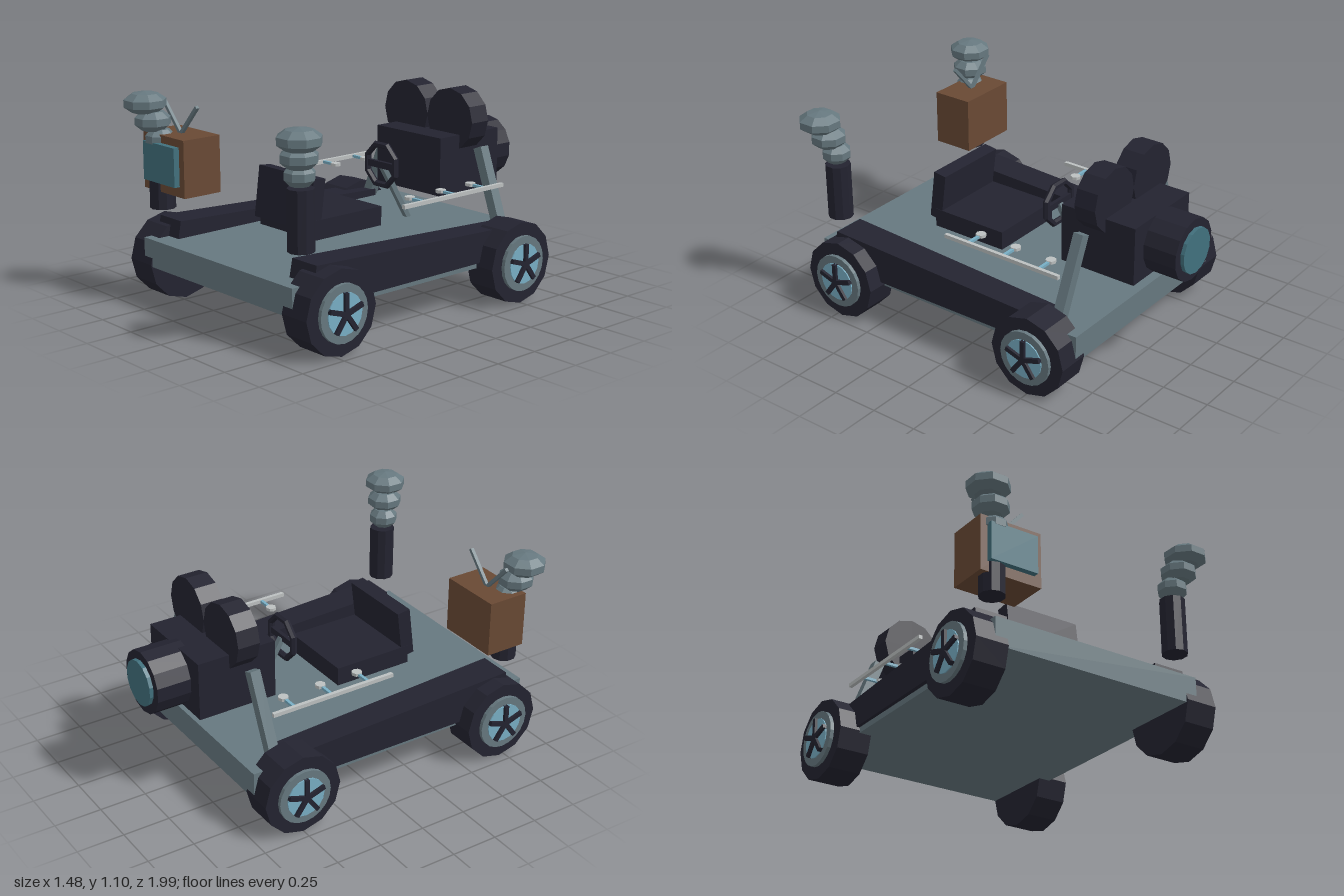
import * as THREE from 'three';

const mat = (name, color) => {
  const m = new THREE.MeshStandardMaterial({ color, flatShading: true });
  m.name = name;
  return m;
};

export function createModel() {
  const root = new THREE.Group();
  root.name = 'cameraBuggy';
  const dark = mat('darkRubber', 0x232330);
  const grey = mat('greyMetal', 0x66787f);
  const brown = mat('brownWood', 0x694934);
  const teal = mat('tealGlass', 0x41707d);
  const blue = mat('paleBlue', 0x78aec4);
  const pale = mat('paleMetal', 0xbcc0c0);

  const add = (name, geo, material, x = 0, y = 0, z = 0, parent = root) => {
    const m = new THREE.Mesh(geo, material);
    m.name = name;
    m.position.set(x, y, z);
    parent.add(m);
    return m;
  };
  const box = (name, material, w, h, d, x, y, z, parent) =>
    add(name, new THREE.BoxGeometry(w, h, d), material, x, y, z, parent);
  // straight bar between two points
  const bar = (name, material, a, b, w, d = w, parent = root) => {
    const p = new THREE.Vector3(...a), q = new THREE.Vector3(...b);
    const dir = q.clone().sub(p);
    const m = box(name, material, w, dir.length(), d, 0, 0, 0, parent);
    m.position.copy(p).add(q).multiplyScalar(0.5);
    m.quaternion.setFromUnitVectors(new THREE.Vector3(0, 1, 0), dir.normalize());
    return m;
  };
  const discX = (r, w, n) => new THREE.CylinderGeometry(r, r, w, n).rotateZ(Math.PI / 2);
  const discZ = (r, w, n) => new THREE.CylinderGeometry(r, r, w, n).rotateX(Math.PI / 2);

  // chassis
  box('chassis', grey, 1.18, 0.145, 1.635, 0, 0.277, 0.107);

  // wheels
  for (const s of [1, -1]) {
    for (const z of [0.72, -0.5]) {
      const wheel = new THREE.Group();
      wheel.name = 'wheel';
      wheel.position.set(0, 0.216, z);
      root.add(wheel);
      add('tire', discX(0.214, 0.176, 12), dark, s * 0.612, 0, 0, wheel);
      add('rim', discX(0.145, 0.024, 20), grey, s * 0.708, 0, 0, wheel);
      add('hubDisc', discX(0.105, 0.02, 16), blue, s * 0.716, 0, 0, wheel);
      for (let i = 0; i < 5; i++) {
        const spoke = new THREE.BoxGeometry(0.022, 0.105, 0.024);
        spoke.translate(0, 0.052, 0).rotateX((i * Math.PI * 2) / 5);
        add('spoke', spoke, dark, s * 0.73, 0, 0, wheel);
      }
    }
  }

  for (const s of [1, -1]) {
    // tapered side rail, higher and wider at the front
    const rail = new THREE.BoxGeometry(1, 1, 1);
    const p = rail.attributes.position;
    for (let i = 0; i < p.count; i++) {
      const front = p.getZ(i) > 0, top = p.getY(i) > 0;
      const half = front ? 0.088 : 0.075;
      p.setXYZ(i, p.getX(i) * 2 * half,
        top ? (front ? 0.44 : 0.385) : 0.235,
        front ? (top ? 0.8 : 0.84) : -0.55);
    }
    rail.computeVertexNormals();
    add('sideRail', rail, dark, s * 0.53, 0, 0);

    // leaning post beside the camera
    bar('cameraPost', grey, [s * 0.5, 0.36, -0.55], [s * 0.345, 0.755, -0.56], 0.055);

    // control rail with levers and knobs
    box('controlRail', pale, 0.02, 0.02, 0.7, s * 0.51, 0.585, -0.2);
    for (const z of [-0.425, -0.21, 0.008]) {
      box('lever', blue, 0.1, 0.014, 0.016, s * 0.455, 0.586, z);
      add('knob', new THREE.CylinderGeometry(0.027, 0.027, 0.016, 8), pale, s * 0.405, 0.588, z);
    }

    // smoke stack with bulging puffs
    add('stack', new THREE.CylinderGeometry(0.066, 0.066, 0.3, 10), dark, s * 0.547, 0.65, 0.832);
    for (const [x, y, z, r] of [
      [0.547, 0.86, 0.838, 0.08],
      [0.573, 0.95, 0.862, 0.097],
      [0.603, 1.04, 0.885, 0.115],
    ]) {
      const puff = new THREE.SphereGeometry(r, 8, 5).scale(1, 0.06 / r, 1);
      add('puff', puff, grey, s * x, y, z).rotation.y = Math.PI / 8;
    }

    // film reel
    add('reel', discZ(0.166, 0.12, 12), dark, s * 0.165, 0.884, -0.567);
  }

  // movie camera
  box('cameraBody', dark, 0.48, 0.31, 0.43, 0, 0.655, -0.583);
  add('lensBarrel', discZ(0.165, 0.22, 14), dark, 0, 0.655, -0.87);
  add('lensGlass', discZ(0.12, 0.03, 14), teal, 0, 0.655, -0.985);

  // seat
  box('seatBase', dark, 0.43, 0.1, 0.44, 0, 0.462, 0.245);
  box('seatBack', dark, 0.425, 0.265, 0.075, 0, 0.588, 0.45).rotation.x = -0.13;

  // steering wheel and column
  const rim = new THREE.TorusGeometry(0.113, 0.018, 6, 8).rotateZ(Math.PI / 8);
  add('steeringWheel', rim, dark, 0, 0.66, -0.175);
  box('steeringSpoke', dark, 0.21, 0.035, 0.02, 0, 0.66, -0.175);
  bar('steeringColumn', grey, [0, 0.655, -0.18], [0, 0.345, -0.365], 0.028);

  // television set with antenna
  box('televisionCase', brown, 0.343, 0.294, 0.222, -0.468, 0.743, 0.765);
  box('televisionScreen', teal, 0.264, 0.2, 0.035, -0.468, 0.75, 0.89);
  for (const s of [1, -1]) {
    bar('antenna', grey, [-0.468, 0.885, 0.765], [-0.468 + s * 0.142, 1.04, 0.765], 0.018);
  }

  return root;
}
